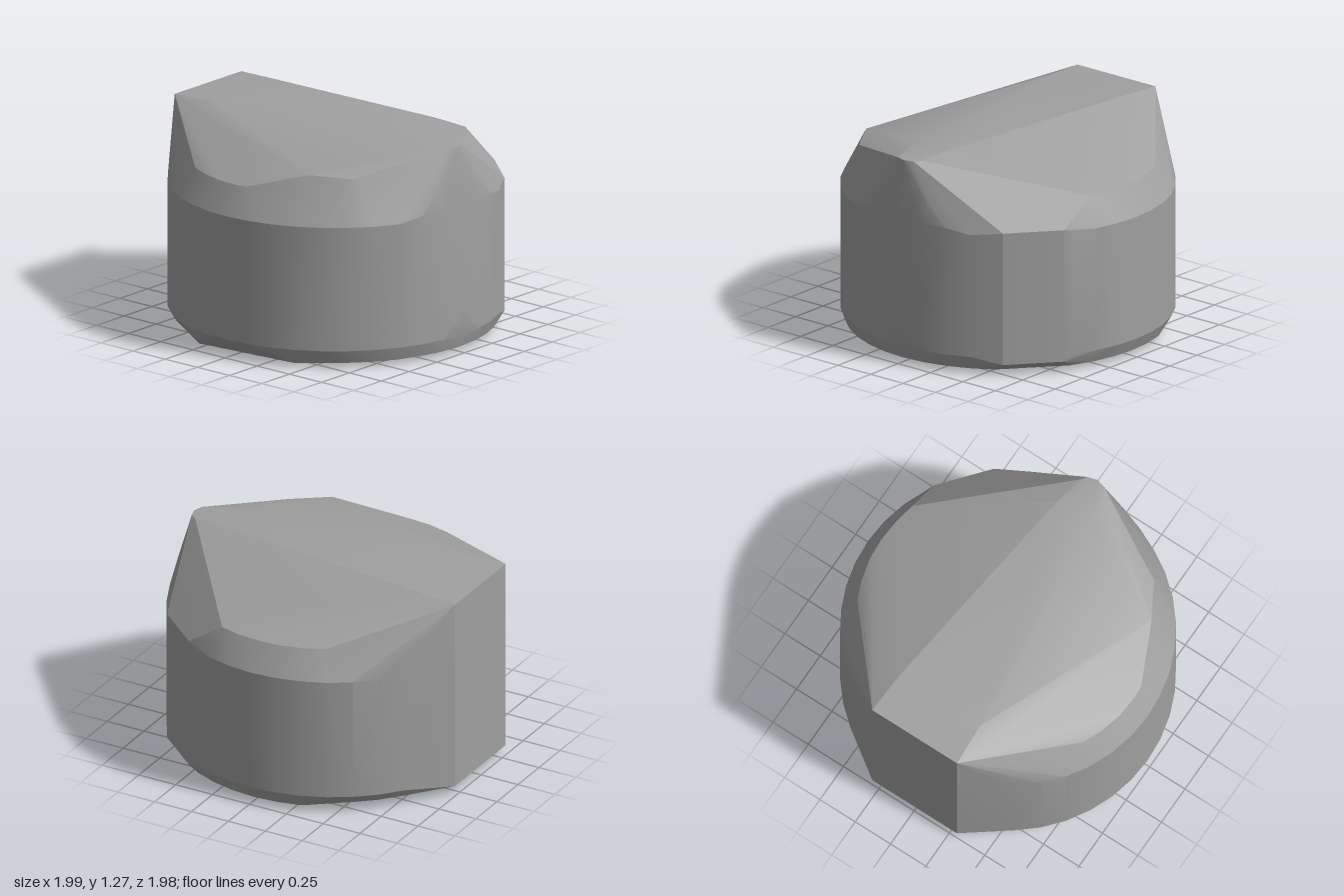
import * as THREE from 'three';
import { ConvexGeometry } from 'three/addons/geometries/ConvexGeometry.js';
import { toCreasedNormals } from 'three/addons/utils/BufferGeometryUtils.js';

export function createModel() {
  const group = new THREE.Group();
  const stoneGrey = new THREE.MeshStandardMaterial({ color: 0xa0a0a0 });
  const points = [];
  const add = (x, y, z) => points.push(new THREE.Vector3(x, y, z));
  const addPair = (x, y, z) => { add(x, y, z); add(x, y, -z); };

  // round side wall, with a flat chord at the back right
  for (let deg = -153; deg <= 153; deg += 9) {
    const a = THREE.MathUtils.degToRad(deg);
    const x = 0.99 * Math.cos(a), z = 0.99 * Math.sin(a);
    if (deg > -59 && deg < -39) continue;
    add(x, Math.abs(deg) < 20 ? 0.9 : 0.87, z);
    add(x, 0.11, z);
    // underside rim, cut straight at the front
    if (!(z > 0.85 && x > -0.3 && x < 0.45)) add(x * 0.975, x < -0.35 ? 0.06 : 0.03, z * 0.965);
  }
  for (const y of [0.89, 0.07]) {
    add(0.5, y, -0.855);
    add(0.78, y, -0.62);
  }
  add(1, 0.25, 0);
  add(-0.3, 0, 0.88);
  add(0.42, 0.02, 0.86);

  // flat left face and level crest
  addPair(-0.99, 1.265, 0.3);
  addPair(-0.99, 0.06, 0.3);
  addPair(-0.72, 1.275, 0.285);
  addPair(0.7, 1.273, 0.12);

  // rounded nose at the right end of the crest
  for (let i = -2; i <= 2; i++) {
    const a = i * Math.PI / 5;
    add(0.86 + 0.09 * Math.cos(a), 1.255, 0.1 * Math.sin(a));
  }
  addPair(0.955, 1.03, 0.18);

  // curved shoulder on both sides
  addPair(-0.4, 1.045, 0.8);
  addPair(-0.28, 1.042, 0.85);
  addPair(-0.14, 1.04, 0.885);
  addPair(0, 1.04, 0.895);
  add(0.08, 1.045, 0.89);
  add(0.43, 1.148, 0.73);
  add(0.65, 1.135, 0.6);
  add(0.14, 1.04, -0.885);
  add(0.27, 1.045, -0.86);

  const body = new THREE.Mesh(toCreasedNormals(new ConvexGeometry(points), 0.3), stoneGrey);
  body.name = 'facetedBody';
  group.add(body);

  // settle exactly on the ground, centred
  const box = new THREE.Box3().setFromObject(group);
  const c = box.getCenter(new THREE.Vector3());
  body.position.set(-c.x, -box.min.y, -c.z);
  return group;
}
